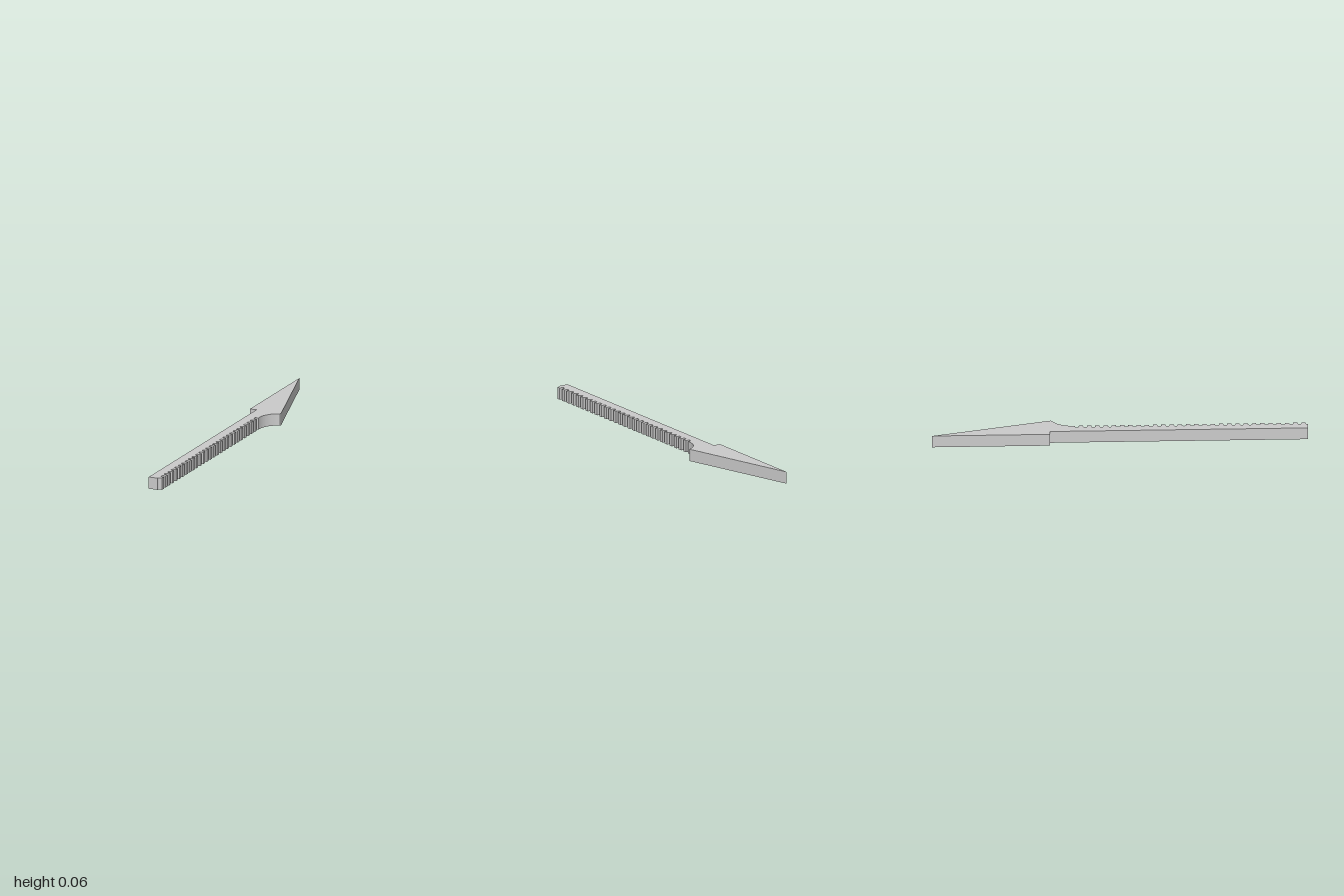
import * as THREE from 'three';

const HEIGHT = 0.065;
const TEETH = 28, PITCH = 0.0438, GULLET_R = 0.0105;
const ROOT_X = -0.003, TIP_X = 0.018;

export function createModel() {
  const group = new THREE.Group();
  group.name = 'serratedBarb';
  const gulletX = ROOT_X + GULLET_R;

  // Plan outline, drawn with shape y = -z
  const s = new THREE.Shape();
  s.moveTo(-0.055, -1);
  s.lineTo(ROOT_X, -1);
  // half gullet at the end of the shank
  s.absarc(gulletX, -1, GULLET_R, Math.PI, Math.PI / 2, true);

  // Row of teeth, each followed by a round-bottomed gullet
  let y = -1 + GULLET_R;
  for (let i = 0; i < TEETH; i++) {
    const shoulder = y + PITCH - 2 * GULLET_R;
    s.lineTo(TIP_X, y);
    s.lineTo(TIP_X, shoulder);
    s.lineTo(gulletX, shoulder);
    s.absarc(gulletX, shoulder + GULLET_R, GULLET_R, -Math.PI / 2, Math.PI / 2, true);
    y += PITCH;
  }
  s.lineTo(TIP_X, y);

  // Concave sweep out to the wide corner of the head
  const r = 0.115;
  s.absarc(TIP_X + r, 0.25, r, Math.PI, Math.PI - 1.19, true);
  s.lineTo(0.092, 0.365);

  // Pointed head and the square barb on the other side
  s.lineTo(-0.093, 1);
  s.lineTo(-0.093, 0.372);
  s.lineTo(-0.055, 0.372);
  s.closePath();

  const geometry = new THREE.ExtrudeGeometry(s, { depth: HEIGHT, bevelEnabled: false, curveSegments: 12 });
  geometry.rotateX(-Math.PI / 2);
  const blade = new THREE.Mesh(geometry, new THREE.MeshStandardMaterial({ color: 0xcccccc }));
  blade.name = 'toothedShankAndHead';
  group.add(blade);
  return group;
}
